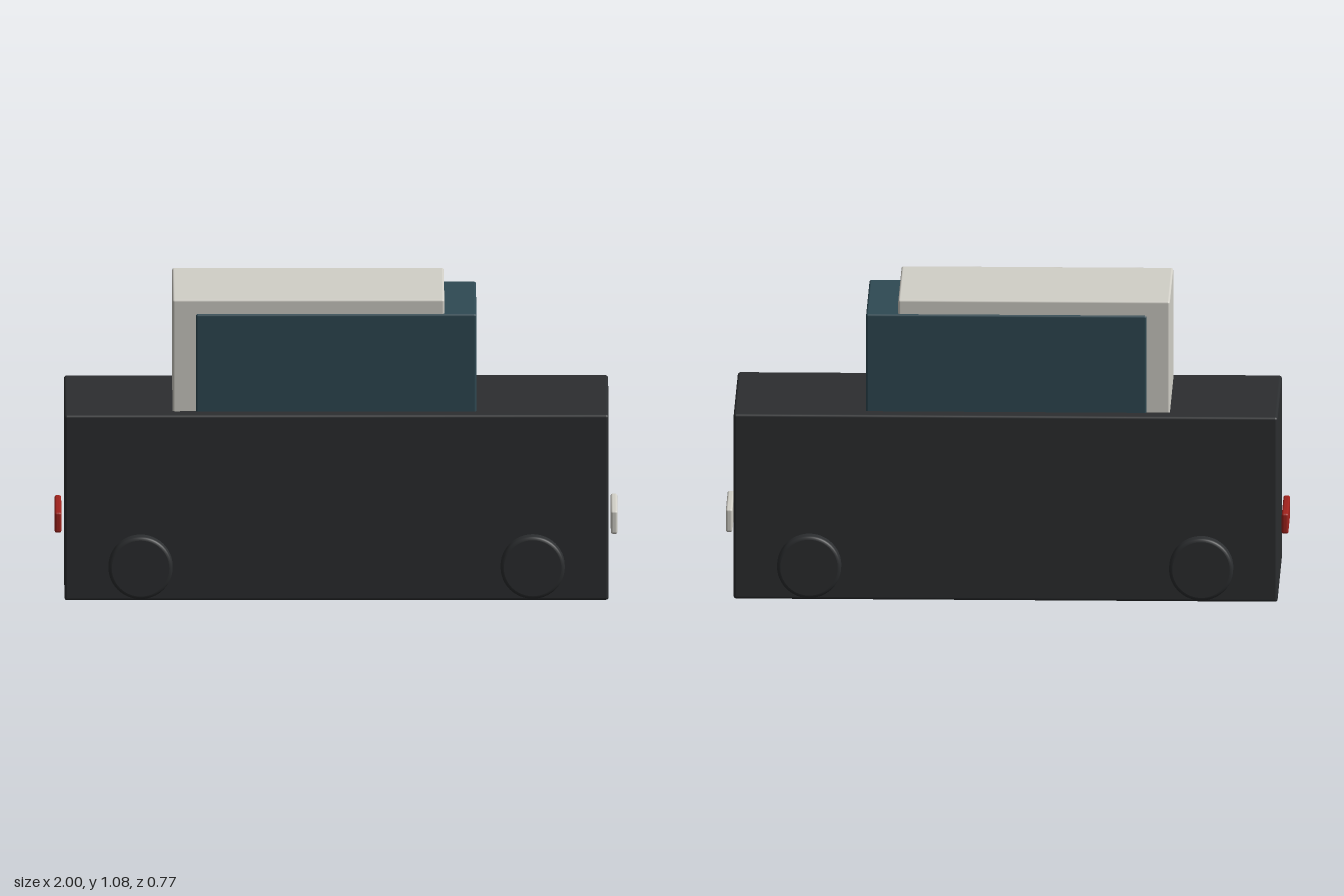
import * as THREE from 'three';
import { RoundedBoxGeometry } from 'three/addons/geometries/RoundedBoxGeometry.js';

const paint = (color) => new THREE.MeshStandardMaterial({ color });

// Softly bevelled box given by its [min, max] extents on each axis
function block(name, [x0, x1], [y0, y1], [z0, z1], radius, material) {
  const geometry = new RoundedBoxGeometry(x1 - x0, y1 - y0, z1 - z0, 3, radius);
  const mesh = new THREE.Mesh(geometry, material);
  mesh.name = name;
  mesh.position.set((x0 + x1) / 2, (y0 + y1) / 2, (z0 + z1) / 2);
  return mesh;
}

// Solid disc with rounded rims, axle along z
function wheelGeometry(radius, width, bevel) {
  const h = width / 2;
  const profile = [new THREE.Vector2(0, -h), new THREE.Vector2(radius - bevel, -h)];
  for (const side of [-1, 1]) {
    for (let i = 0; i <= 4; i++) {
      const a = (side < 0 ? i - 4 : i) * Math.PI / 8;
      profile.push(new THREE.Vector2(
        radius - bevel + bevel * Math.cos(a),
        side * (h - bevel) + bevel * Math.sin(a)));
    }
  }
  profile.push(new THREE.Vector2(radius - bevel, h), new THREE.Vector2(0, h));
  return new THREE.LatheGeometry(profile, 48).rotateX(Math.PI / 2);
}

export function createModel() {
  const model = new THREE.Group();
  model.name = 'van';

  const black = paint(0x2c2e30);
  const glass = paint(0x2f4a54);
  const cream = paint(0xd2d0c8);
  const red = paint(0xa0221c);

  // Lower body, glazed cabin and the pale roof shell wrapping its rear
  model.add(
    block('body', [-0.966, 0.966], [0, 0.677], [-0.306, 0.306], 0.01, black),
    block('cabinGlass', [-0.5, 0.497], [0.6, 1.032], [-0.25, 0.25], 0.008, glass),
    block('roofShell', [-0.582, 0.383], [0.6, 1.084], [-0.244, 0.244], 0.008, cream));

  // Light bars on both ends
  model.add(
    block('headlight', [0.974, 0.998], [0.2, 0.285], [-0.135, 0.135], 0.008, cream),
    block('tailLight', [-1, -0.976], [0.206, 0.281], [-0.135, 0.135], 0.008, red));

  // Four wheels
  const tyre = wheelGeometry(0.114, 0.055, 0.012);
  for (const x of [-0.696, 0.696]) {
    for (const z of [-0.359, 0.359]) {
      const wheel = new THREE.Mesh(tyre, black);
      wheel.name = (x > 0 ? 'front' : 'rear') + 'Wheel';
      wheel.position.set(x, 0.137, z);
      model.add(wheel);
    }
  }
  return model;
}
